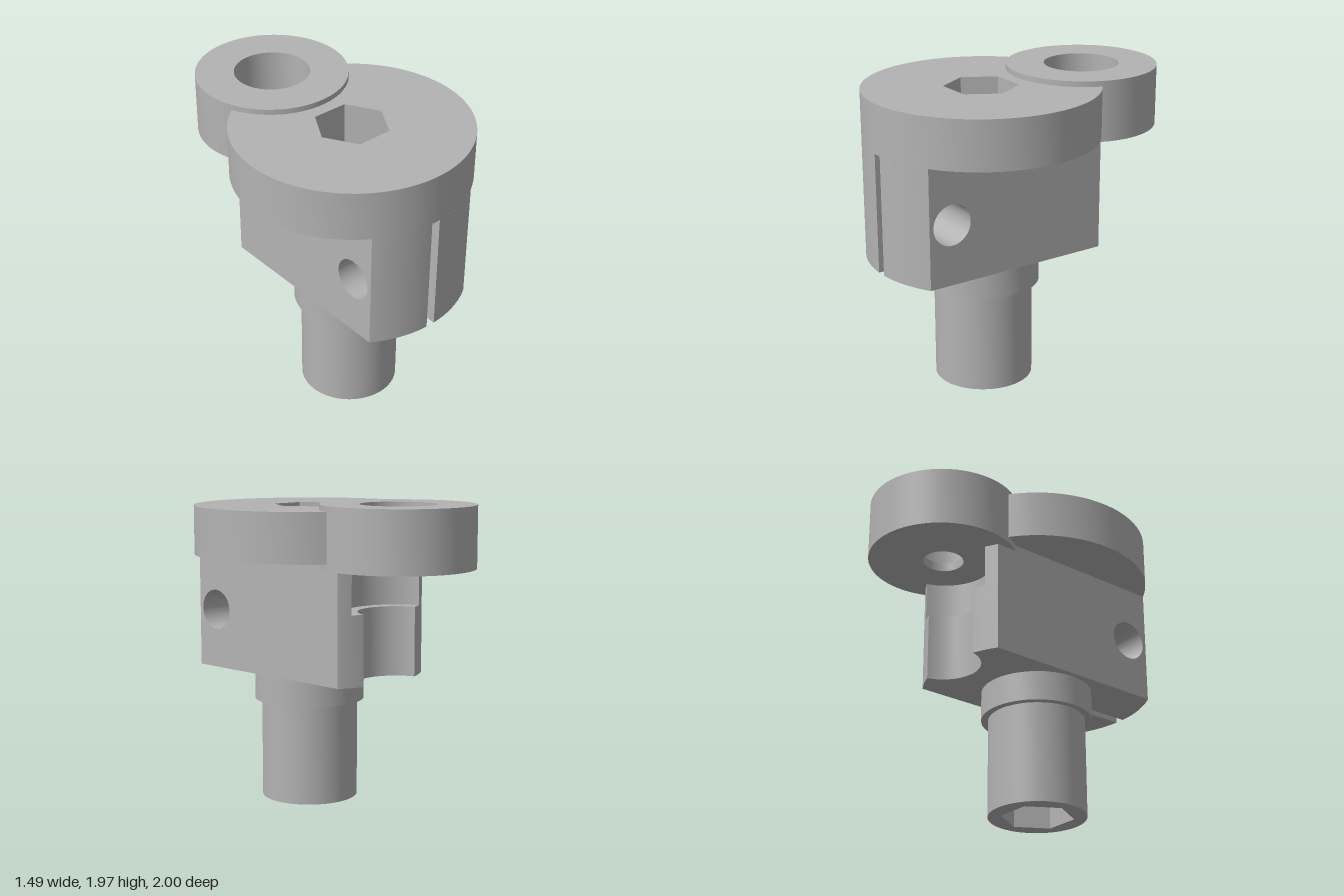
import * as THREE from 'three';
import { toCreasedNormals } from 'three/addons/utils/BufferGeometryUtils.js';

const R = 0.745, MAIN_Z = 0.255;      // main axis and flange radius
const EYE_R = 0.485, EYE_Z = -0.515;  // offset eye
const HALF = 0.395, SLOT = 0.03;      // body half width, slot half width
const BLOCK_Z = 0.58;                 // where the cross-drilled jaws begin

// Points on a circle in the x/z plane
function arc(cz, r, a0, a1, n = 48) {
  return Array.from({ length: n + 1 }, (_, i) => {
    const a = a0 + (a1 - a0) * i / n;
    return new THREE.Vector2(r * Math.cos(a), cz + r * Math.sin(a));
  });
}

// Right-hand crossing of the main circle and a circle of radius r on the eye axis, as angles on both
function crossing(r) {
  const d = MAIN_Z - EYE_Z;
  const t = (R * R - r * r + d * d) / (2 * d);
  const x = Math.sqrt(R * R - t * t);
  return { main: Math.atan2(-t, x), eye: Math.atan2(d - t, x) };
}

const hexagon = () => arc(MAIN_Z, 0.235, 0, Math.PI * 5 / 3, 5);
const v = (x, z) => new THREE.Vector2(x, z);
const smooth = (g) => toCreasedNormals(g, 0.5);

// Extrude an x/z outline between two heights
function slab(points, y0, y1, hole) {
  const shape = new THREE.Shape(points);
  if (hole) shape.holes.push(new THREE.Path(hole));
  const g = new THREE.ExtrudeGeometry(shape, { depth: y1 - y0, bevelEnabled: false });
  g.rotateX(Math.PI / 2).translate(0, y1, 0);
  return smooth(g);
}

// Rear body outline: flat sides, scooped back, slot opening into the hexagonal bore
function bodyOutline(scoopR) {
  const c = crossing(scoopR);
  const side = -Math.acos(HALF / R);
  const right = arc(MAIN_Z, R, side, c.main, 12);
  const left = right.map((p) => v(-p.x, p.y)).reverse();
  const scoop = arc(EYE_Z, scoopR, c.eye, Math.PI - c.eye, 32).slice(1, -1);
  const apothem = 0.235 * Math.sqrt(3) / 2;
  const bore = [
    [SLOT, -0.1], [SLOT, MAIN_Z - apothem], [0.1175, MAIN_Z - apothem],
    [0.235, MAIN_Z], [0.1175, MAIN_Z + apothem], [SLOT, MAIN_Z + apothem],
  ];
  return [
    v(SLOT, BLOCK_Z), v(HALF, BLOCK_Z), ...right, ...scoop, ...left,
    v(-HALF, BLOCK_Z), v(-SLOT, BLOCK_Z),
    ...bore.slice().reverse().map(([x, z]) => v(-x, z)),
    ...bore.map(([x, z]) => v(x, z)),
  ];
}

export function createModel() {
  const group = new THREE.Group();
  const steel = new THREE.MeshStandardMaterial({ color: 0xb3b3b3 });
  steel.name = 'plain grey';
  const add = (name, geometry) => {
    const mesh = new THREE.Mesh(geometry, steel);
    mesh.name = name;
    group.add(mesh);
  };
  const circle = (r) => arc(MAIN_Z, r, 0, Math.PI * 2 * 79 / 80, 79);

  // Hollow shaft and collar
  add('shaft', slab(circle(0.315), 0, 0.655, hexagon()));
  add('collar', slab(circle(0.36), 0.655, 0.85, hexagon()));

  // Rear body, with a wider scoop above the step
  add('lowerBody', slab(bodyOutline(0.25), 0.85, 1.3));
  add('upperBody', slab(bodyOutline(0.33), 1.3, 1.615));

  // Front jaws on both sides of the slot, cross-drilled
  const frontZ = MAIN_Z + Math.sqrt(R * R - HALF * HALF);
  for (const s of [1, -1]) {
    const name = s > 0 ? 'left' : 'right';
    const block = new THREE.Shape([
      v(BLOCK_Z, 0.85), v(frontZ, 0.85), v(frontZ, 1.615), v(BLOCK_Z, 1.615),
    ]);
    block.holes.push(new THREE.Path().absarc(0.73, 1.235, 0.13, 0, Math.PI * 2, true));
    const g = new THREE.ExtrudeGeometry(block,
      { depth: HALF - SLOT, bevelEnabled: false, curveSegments: 48 });
    g.rotateY(-Math.PI / 2).translate(s > 0 ? HALF : -SLOT, 0, 0);
    add(name + 'Jaw', smooth(g));

    const rim = arc(MAIN_Z, R, Math.acos(HALF / R), Math.acos(SLOT / R), 16);
    const cap = [...rim, v(SLOT, frontZ)].map((p) => v(s * p.x, p.y));
    add(name + 'JawFront', slab(cap, 0.85, 1.615));
  }

  // Large flange, cut away around the eye
  const c = crossing(EYE_R);
  add('flange', slab([
    ...arc(MAIN_Z, R, c.main, Math.PI - c.main, 80),
    ...arc(EYE_Z, EYE_R, Math.PI - c.eye, c.eye, 48).slice(1, -1),
  ], 1.615, 1.93, hexagon()));

  // Offset eye with a counterbored hole
  const profile = [
    [0.13, 1.575], [EYE_R, 1.575], [EYE_R, 1.965], [0.24, 1.965],
    [0.24, 1.635], [0.13, 1.635], [0.13, 1.575],
  ].map(([r, y]) => v(r, y));
  const eye = new THREE.LatheGeometry(profile, 80);
  eye.deleteAttribute('normal');
  eye.translate(0, 0, EYE_Z);
  add('eye', smooth(eye));

  return group;
}
